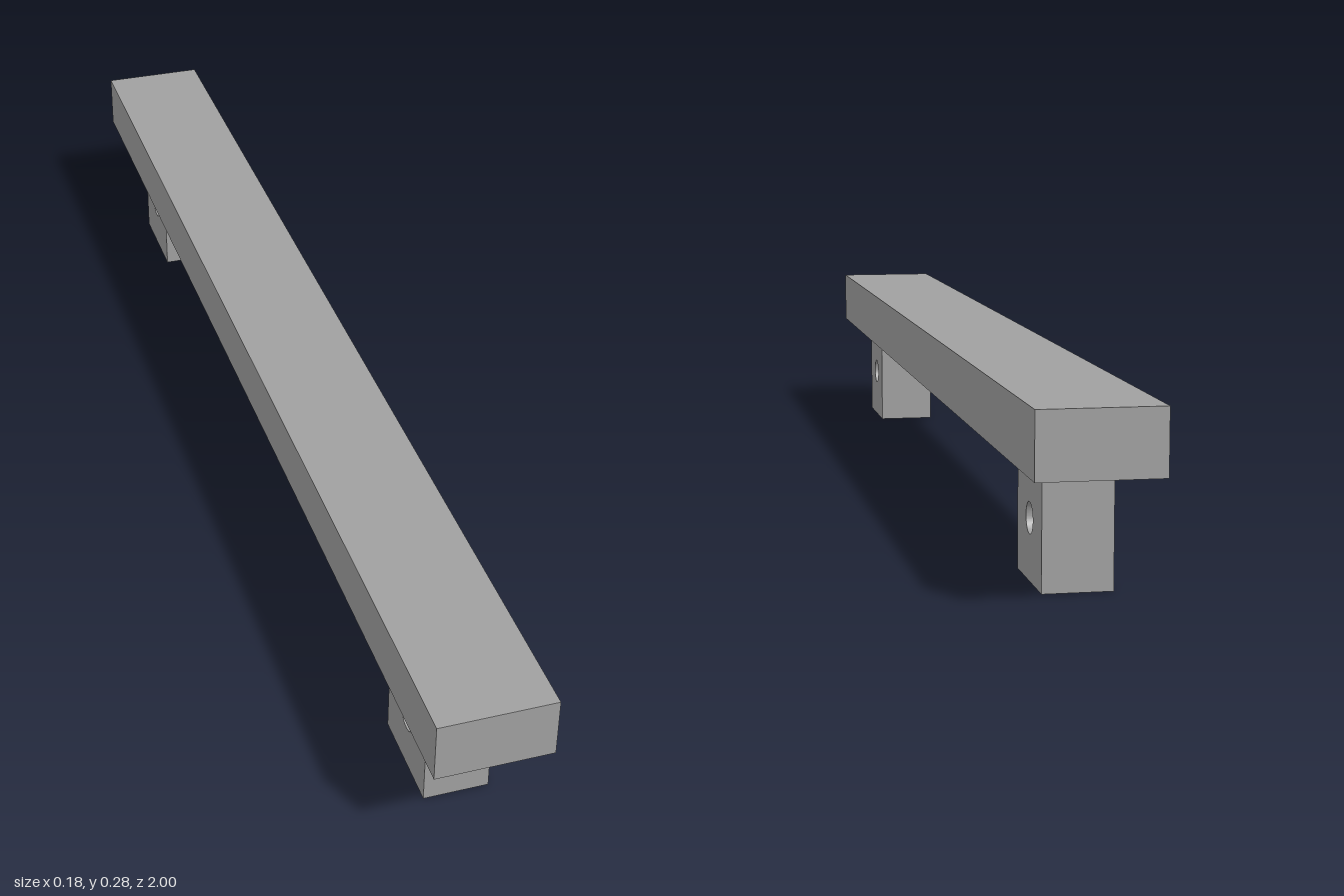
import * as THREE from 'three';

const WIDTH = 0.18, LENGTH = 2, TOP = 0.277;
const LEG = { width: 0.102, height: 0.181, depth: 0.163, z: 0.785 };
const HOLE_RADIUS = 0.023;

// Block with a round hole running through it along x
function createLegGeometry() {
  const half = LEG.depth / 2;
  const outline = new THREE.Shape();
  outline.moveTo(-half, 0);
  outline.lineTo(half, 0);
  outline.lineTo(half, LEG.height);
  outline.lineTo(-half, LEG.height);
  outline.closePath();
  const hole = new THREE.Path();
  hole.absarc(0, LEG.height / 2, HOLE_RADIUS, 0, Math.PI * 2, true);
  outline.holes.push(hole);
  const geometry = new THREE.ExtrudeGeometry(outline, {
    depth: LEG.width, bevelEnabled: false, curveSegments: 32,
  });
  geometry.translate(0, 0, -LEG.width / 2);
  geometry.rotateY(Math.PI / 2);
  return geometry;
}

export function createModel() {
  const model = new THREE.Group();
  model.name = 'rail';
  const grey = new THREE.MeshStandardMaterial({ color: 0xa0a0a0 });
  grey.name = 'grey';

  // Long flat bar
  const thickness = TOP - LEG.height;
  const bar = new THREE.Mesh(new THREE.BoxGeometry(WIDTH, thickness, LENGTH), grey);
  bar.name = 'bar';
  bar.position.y = LEG.height + thickness / 2;
  model.add(bar);

  // Drilled leg near each end
  const legGeometry = createLegGeometry();
  for (const [name, side] of [['frontLeg', 1], ['backLeg', -1]]) {
    const leg = new THREE.Mesh(legGeometry, grey);
    leg.name = name;
    leg.position.z = side * LEG.z;
    model.add(leg);
  }
  return model;
}
